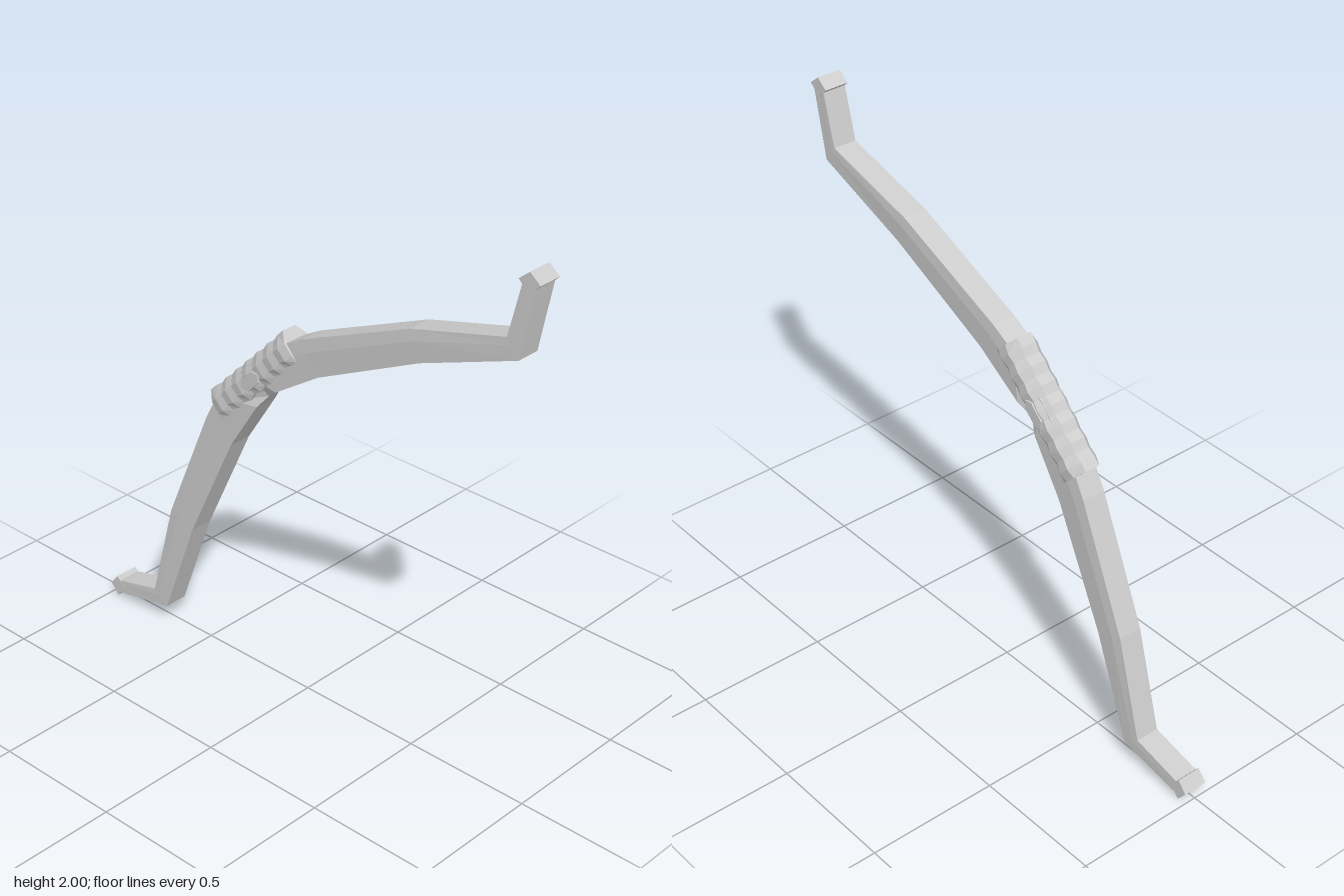
import * as THREE from 'three';

const material = new THREE.MeshStandardMaterial({ color: 0xcccccc, flatShading: true });

// Closed, flat-shaded skin through a row of equal-length rings of [x, y, z]
function loft(rings, name) {
  const n = rings[0].length, last = rings.length - 1, pos = [];
  const tri = (a, b, c) => pos.push(...a, ...b, ...c);
  for (let i = 0; i < last; i++) {
    for (let j = 0; j < n; j++) {
      const k = (j + 1) % n;
      tri(rings[i][j], rings[i][k], rings[i + 1][k]);
      tri(rings[i][j], rings[i + 1][k], rings[i + 1][j]);
    }
  }
  for (let j = 1; j < n - 1; j++) {
    tri(rings[0][0], rings[0][j + 1], rings[0][j]);
    tri(rings[last][0], rings[last][j], rings[last][j + 1]);
  }
  const geo = new THREE.BufferGeometry();
  geo.setAttribute('position', new THREE.Float32BufferAttribute(pos, 3));
  geo.computeVertexNormals();
  const mesh = new THREE.Mesh(geo, material);
  mesh.name = name;
  return mesh;
}

// The bow is symmetric about the line x + y = 1
const mirror = ([x, y]) => [1 - y, 1 - x];

// Grip frame: u runs along the bow, v points to its outer side
const gripPoint = (u, v) => [-0.22 + (u - v) * Math.SQRT1_2, 1.22 + (u + v) * Math.SQRT1_2];

function extrudeZ(points, halfDepth, name) {
  const shape = new THREE.Shape(points.map(([x, y]) => new THREE.Vector2(x, y)));
  const geo = new THREE.ExtrudeGeometry(shape, { depth: halfDepth * 2, bevelEnabled: false });
  geo.translate(0, 0, -halfDepth);
  const mesh = new THREE.Mesh(geo, material);
  mesh.name = name;
  return mesh;
}

export function createModel() {
  const bow = new THREE.Group();
  bow.name = 'bow';

  // Limbs: stations of outer edge, inner edge, inner half width, side ridge
  const upper = [
    { o: [-0.09, 1.39], i: [-0.11, 1.2], w: 0.046, r: 0.05 },
    { o: [0.02, 1.45], i: [0.09, 1.33], w: 0.046, r: 0.05 },
    { o: [0.49, 1.65], i: [0.53, 1.54], w: 0.046, r: 0.05 },
    { o: [0.88, 1.755], i: [0.93, 1.69], w: 0.046, r: 0.047 },
    { o: [0.93, 1.955], i: [0.983, 1.95], w: 0.046, r: 0.046 },
  ];
  const lower = upper.map((s) => ({ ...s, o: mirror(s.o), i: mirror(s.i) })).reverse();
  const middle = { o: [-0.25, 1.25], i: [-0.16, 1.16], w: 0.025, r: 0.045 };
  const rings = [...lower, middle, ...upper].map(({ o, i, w, r }) => {
    const m = [0, 1].map((k) => o[k] * 0.65 + i[k] * 0.35);
    return [[...o, -0.046], [...o, 0.046], [...m, r], [...i, w], [...i, -w], [...m, -r]];
  });
  bow.add(loft(rings, 'limbs'));

  // Diamond nocks at both tips
  const nock = [[0.915, 1.965], [0.957, 1.925], [1, 1.965], [0.957, 2]];
  bow.add(extrudeZ(nock, 0.047, 'upperNock'));
  bow.add(extrudeZ(nock.map(mirror), 0.047, 'lowerNock'));

  // Octagonal grip with a scalloped wrap
  const gripRings = [];
  const steps = 14;
  for (let k = 0; k <= steps; k++) {
    const u = -0.25 + (0.5 * k) / steps;
    const end = k === 0 || k === steps;
    const s = end ? 0 : k % 2 ? 0 : 0.008;
    const side = (end ? 0.056 : 0.064) - s * 0.6;
    const half = [[0.062 - s, 0.03], [0.02, side], [-0.03 + s, side], [-0.06 + s, 0.046]];
    const front = half.map(([v, z]) => [...gripPoint(u, v), z]);
    const back = half.map(([v, z]) => [...gripPoint(u, v), -z]).reverse();
    gripRings.push([...front, ...back]);
  }
  bow.add(loft(gripRings, 'grip'));

  // Hexagonal stud through the middle of the grip
  const stud = [[-0.055, 0], [-0.035, -0.025], [0.035, -0.025], [0.055, 0], [0.035, 0.022], [-0.035, 0.022]];
  bow.add(extrudeZ(stud.map(([u, v]) => gripPoint(u, v - 0.008)), 0.067, 'gripStud'));

  return bow;
}
